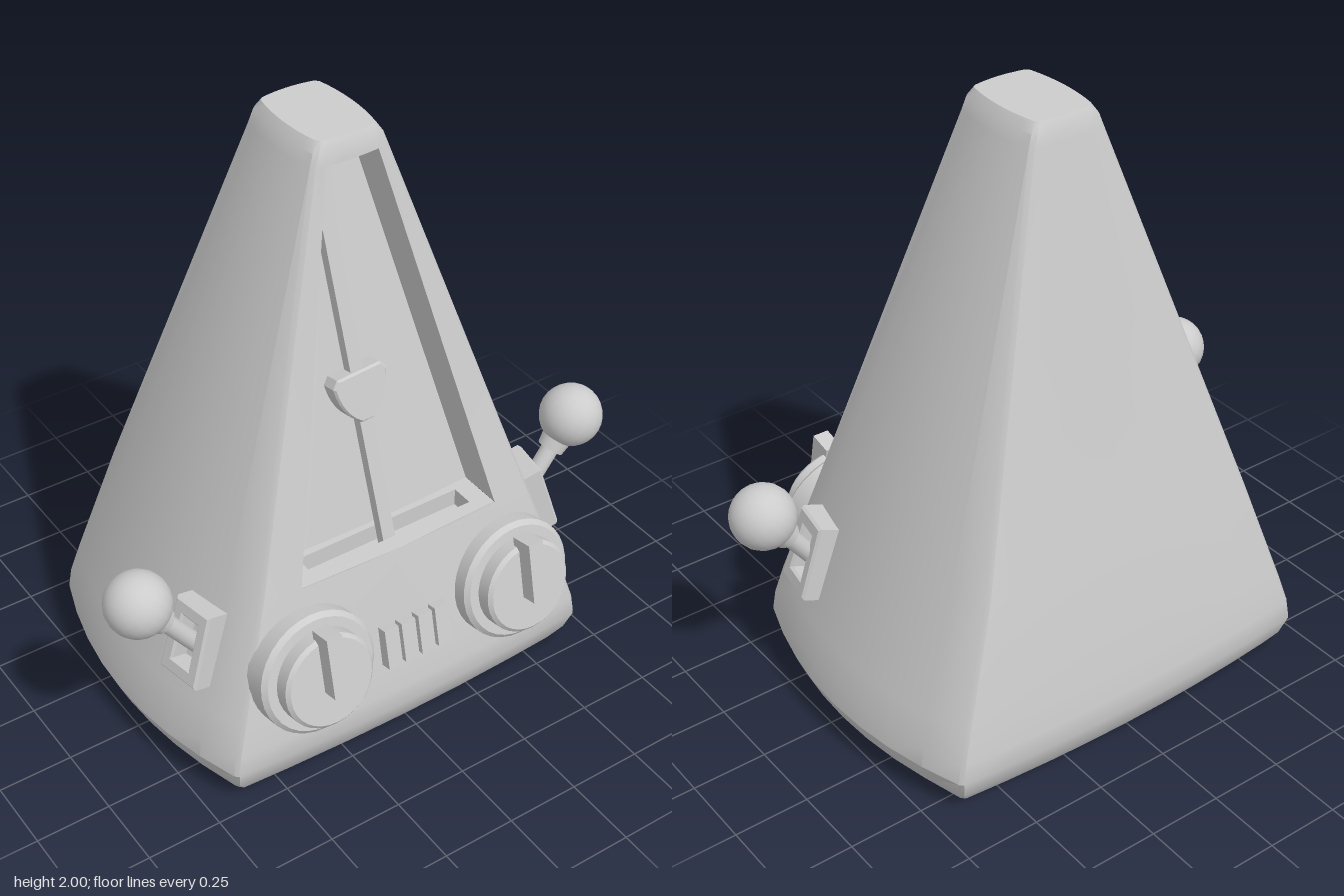
import * as THREE from 'three';
import { toCreasedNormals } from 'three/addons/utils/BufferGeometryUtils.js';

const grey = new THREE.MeshStandardMaterial({ color: 0xcccccc });
const greyDouble = new THREE.MeshStandardMaterial({ color: 0xcccccc, side: THREE.DoubleSide });

const EDGE = 0.74;      // window edge as a share of the front's half width
const BEVEL = 0.012;    // narrow bevel on the four upright corners
const DEPTH = 0.15;     // depth of the window recess
const SLOPE = 0.22;     // backward lean of the front face
const frontU = [-1, -EDGE, -0.37, 0, 0.37, EDGE, 1];
const sideU = [-1, -0.75, -0.5, -0.25, 0, 0.25, 0.5, 0.75, 1];

// height, half width, side bulge, front z, front bulge, back z, back bulge
const levels = [
  [0, 0.61, 0.07, 0.42, 0.02, -0.54, 0.03],
  [0.06, 0.645, 0.085, 0.455, 0.025, -0.58, 0.03],
  [0.13, 0.66, 0.1, 0.48, 0.025, -0.605, 0.03],
  [0.2, 0.65, 0.1, 0.475, 0.025, -0.6, 0.03],
  [0.3, 0.62, 0.097, 0.46, 0.02, -0.585, 0.028],
  [0.69, 0.495, 0.085, 0.38, 0.02, -0.52, 0.025],
  [1.93, 0.122, 0.02, 0.11, 0.01, -0.235, 0.01],
  [1.97, 0.108, 0.018, 0.105, 0.01, -0.23, 0.01],
  [2, 0.09, 0.015, 0.09, 0.01, -0.215, 0.01],
];
const WINDOW_ROW = 5;

// One closed cross-section: front, left side, back, right side
function ring([y, hx, bx, zf, bf, zb, bb]) {
  const bow = (u) => 1 - u * u;
  const mid = (zf + zb) / 2, half = (zf - zb) / 2 - BEVEL;
  return [
    ...frontU.map((u) => [u * hx, y, zf + bf * bow(u)]),
    ...sideU.map((u) => [hx + BEVEL + bx * bow(u), y, mid - u * half]),
    ...sideU.map((u) => [-u * hx, y, zb - bb * bow(u)]),
    ...sideU.map((u) => [-hx - BEVEL - bx * bow(u), y, mid + u * half]),
  ];
}

function fromTriangles(pos) {
  const g = new THREE.BufferGeometry();
  g.setAttribute('position', new THREE.Float32BufferAttribute(pos, 3));
  return toCreasedNormals(g, 0.5);
}
const quad = (out, a, b, c, d) => out.push(...a, ...b, ...c, ...a, ...c, ...d);

function add(parent, name, geometry, x = 0, y = 0, z = 0, material = grey) {
  const m = new THREE.Mesh(geometry, material);
  m.name = name;
  m.position.set(x, y, z);
  parent.add(m);
  return m;
}

function addGroup(parent, name, x, y, z) {
  const g = new THREE.Group();
  g.name = name;
  g.position.set(x, y, z);
  parent.add(g);
  return g;
}

// Tapered case with an opening in the front
function caseGeometry() {
  const rings = levels.map(ring), n = rings[0].length, out = [];
  for (let i = 0; i < rings.length - 1; i++) {
    for (let j = 0; j < n; j++) {
      if (i === WINDOW_ROW && j >= 1 && j < 5) continue;
      const k = (j + 1) % n;
      quad(out, rings[i][j], rings[i][k], rings[i + 1][k], rings[i + 1][j]);
    }
  }
  const low = rings[0], high = rings[rings.length - 1];
  for (let j = 0; j < n; j++) {
    const k = (j + 1) % n;
    out.push(0, 0, -0.06, ...low[k], ...low[j]);
    out.push(0, 2, -0.06, ...high[j], ...high[k]);
  }
  return fromTriangles(out);
}

// Back panel, sides and top of the recess
function recessGeometry() {
  const low = ring(levels[WINDOW_ROW]).slice(1, 6);
  const high = ring(levels[WINDOW_ROW + 1]).slice(1, 6);
  const back = ([x, y, z]) => [x, y, z - DEPTH];
  // the panel runs a little below the sill, into the floor slot
  const out = [];
  for (let j = 0; j < 4; j++) {
    quad(out, back(low[j]), back(low[j + 1]), back(high[j + 1]), back(high[j]));
    quad(out, back(high[j]), back(high[j + 1]), high[j + 1], high[j]);
  }
  quad(out, low[0], back(low[0]), back(high[0]), high[0]);
  quad(out, back(low[4]), low[4], high[4], back(high[4]));
  return fromTriangles(out);
}

// Recess floor with a long slot for the pendulum (drawn in x, -z)
function floorGeometry() {
  const s = new THREE.Shape([[-0.366, -0.387], [0, -0.4], [0.366, -0.387], [0.366, -0.22], [-0.366, -0.22]]
    .map((p) => new THREE.Vector2(...p)));
  s.holes.push(new THREE.Path([[-0.3, -0.345], [-0.3, -0.27], [0.3, -0.27], [0.3, -0.345]]
    .map((p) => new THREE.Vector2(...p))));
  return new THREE.ExtrudeGeometry(s, { depth: 0.06, bevelEnabled: false }).rotateX(-Math.PI / 2);
}

// Round disc facing +z with a chamfered rim
function disc(radius, z0, z1, chamfer) {
  const pts = [[0, z1], [radius - chamfer, z1], [radius, z1 - chamfer], [radius, z0]].reverse();
  const g = new THREE.LatheGeometry(pts.map((p) => new THREE.Vector2(...p)), 32);
  return toCreasedNormals(g.rotateX(Math.PI / 2), 0.5);
}

function addDial(parent, name, x) {
  const dial = addGroup(parent, name, x, 0.43, 0.45);
  dial.rotation.x = -SLOPE;
  add(dial, 'dialBase', disc(0.205, -0.04, 0.065, 0.015));
  add(dial, 'dialKnob', disc(0.158, 0.05, 0.125, 0.012));
  add(dial, 'dialGrip', new THREE.BoxGeometry(0.055, 0.21, 0.08), 0, 0.08, 0.14);
}

function addLever(parent, name, side) {
  const lever = addGroup(parent, name, 0, 0, 0);
  // slotted plate lying on the sloping side
  const s = new THREE.Shape([[-0.075, -0.12], [0.075, -0.12], [0.068, 0.12], [-0.068, 0.12]]
    .map((p) => new THREE.Vector2(...p)));
  s.holes.push(new THREE.Path([[-0.045, -0.085], [-0.04, 0.085], [0.04, 0.085], [0.045, -0.085]]
    .map((p) => new THREE.Vector2(...p))));
  const plateGeo = new THREE.ExtrudeGeometry(s, {
    depth: 0.07, bevelThickness: 0.008, bevelSize: 0.008, bevelSegments: 1,
  });
  const plate = add(lever, 'leverPlate', plateGeo, side * 0.615, 0.49, 0.215);
  plate.rotation.set(-0.31, side * (Math.PI / 2 - 0.17), 0, 'YXZ');

  // rod, collar and ball along one slanted axis
  const arm = addGroup(lever, 'leverArm', side * 0.64, 0.475, 0.205);
  arm.rotation.z = -side * Math.atan2(0.185, 0.25);
  add(arm, 'leverRod', new THREE.CylinderGeometry(0.03, 0.03, 0.26, 16), 0, 0.11, 0);
  add(arm, 'leverCollar', new THREE.CylinderGeometry(0.052, 0.045, 0.05, 16), 0, 0.205, 0);
  add(arm, 'leverBall', new THREE.SphereGeometry(0.106, 20, 14), 0, 0.312, 0);
}

function addPendulum(parent) {
  const pendulum = addGroup(parent, 'pendulum', 0, 0.65, 0.32);
  pendulum.rotation.set(-SLOPE, 0, 0.064);
  add(pendulum, 'pendulumRod', new THREE.BoxGeometry(0.045, 1.23, 0.035), 0, 0.615, 0);
  const s = new THREE.Shape();
  s.moveTo(-0.075, 0.08);
  s.lineTo(0.075, 0.08);
  s.lineTo(0.09, 0.06);
  s.quadraticCurveTo(0.08, -0.03, 0.02, -0.075);
  s.lineTo(-0.02, -0.075);
  s.quadraticCurveTo(-0.08, -0.03, -0.09, 0.06);
  const weight = new THREE.ExtrudeGeometry(s, {
    depth: 0.05, bevelThickness: 0.008, bevelSize: 0.006, bevelSegments: 1, curveSegments: 6,
  });
  add(pendulum, 'pendulumWeight', weight, 0, 0.535, -0.025);
}

export function createModel() {
  const model = new THREE.Group();
  model.name = 'metronome';

  add(model, 'case', caseGeometry());
  add(model, 'windowRecess', recessGeometry(), 0, 0, 0, greyDouble);
  add(model, 'recessFloor', floorGeometry(), 0, 0.63, 0);
  add(model, 'slotBottom', new THREE.BoxGeometry(0.62, 0.01, 0.1), 0, 0.625, 0.31);
  addPendulum(model);

  for (const side of [-1, 1]) {
    const name = side > 0 ? 'left' : 'right';
    addDial(model, name + 'Dial', side * 0.38);
    addLever(model, name + 'Lever', side);
  }

  // row of four push buttons
  const buttons = addGroup(model, 'buttons', 0, 0.382, 0.465);
  buttons.rotation.x = -SLOPE;
  for (let i = 0; i < 4; i++) {
    add(buttons, 'button', new THREE.BoxGeometry(0.052, 0.14, 0.07), (i - 1.5) * 0.064, 0, 0);
  }
  return model;
}
